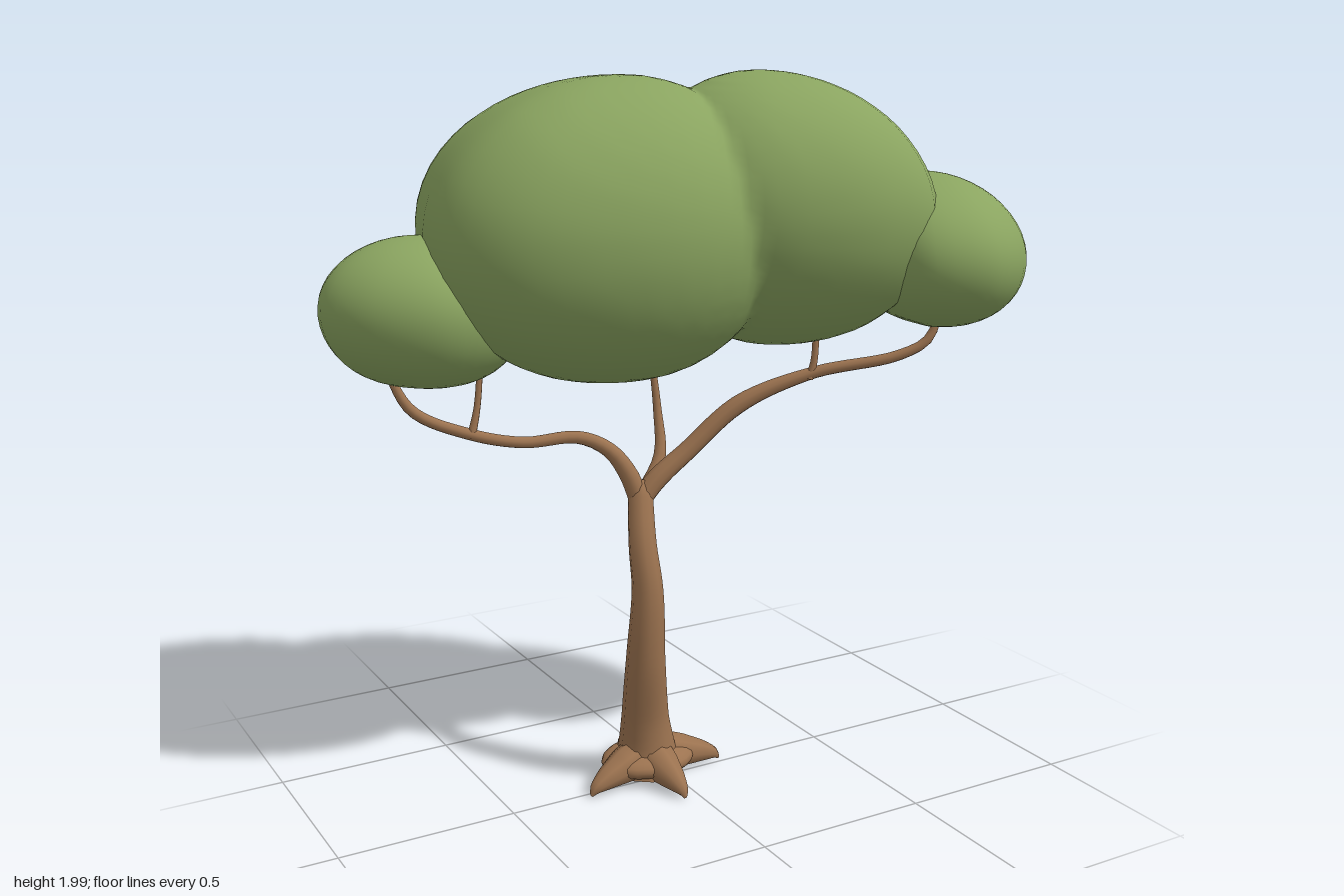
import * as THREE from 'three';
import { mergeVertices } from 'three/addons/utils/BufferGeometryUtils.js';

const leaf = new THREE.MeshStandardMaterial({ color: 0x8aa460 });
leaf.name = 'leaf green';
const bark = new THREE.MeshStandardMaterial({ color: 0x9c7350 });
bark.name = 'bark brown';

function add(group, name, geometry, material) {
  const mesh = new THREE.Mesh(geometry, material);
  mesh.name = name;
  group.add(mesh);
  return mesh;
}

// Weld a geometry and give it smooth normals.
function smooth(geo) {
  geo.deleteAttribute('uv');
  geo.deleteAttribute('normal');
  const merged = mergeVertices(geo, 1e-5);
  merged.computeVertexNormals();
  return merged;
}

// Rounded foliage mass: a sphere stretched to a plan outline of [x, z] points
// (ordered -x, +z, +x, -z), leaned by [dx, dz] at its top; a fullness below 1
// makes the underside broader.
function foliage([cx, cy, cz], ry, outline, [dx, dz], fullness) {
  const curve = new THREE.CatmullRomCurve3(
    outline.map(([x, z]) => new THREE.Vector3(x - cx, 0, z - cz)), true);
  const geo = new THREE.SphereGeometry(1, 40, 24);
  const pos = geo.attributes.position, uv = geo.attributes.uv;
  for (let i = 0; i < pos.count; i++) {
    const y = pos.getY(i);
    const s = Math.sqrt(Math.max(0, 1 - y * y)) ** (y < 0 ? fullness : 1);
    const p = curve.getPoint(((uv.getX(i) % 1) + 1) % 1);
    pos.setXYZ(i, cx + p.x * s + dx * y, cy + ry * y, cz + p.z * s + dz * y);
  }
  return smooth(geo);
}

// One skin over several overlapping masses, seen outward from a shared centre.
function skin(centre, masses) {
  const solid = new THREE.MeshBasicMaterial({ side: THREE.DoubleSide });
  const meshes = masses.map((m) => new THREE.Mesh(m, solid));
  const geo = new THREE.SphereGeometry(1, 80, 48);
  const pos = geo.attributes.position, dir = new THREE.Vector3();
  const ray = new THREE.Raycaster();
  for (let i = 0; i < pos.count; i++) {
    ray.set(centre, dir.fromBufferAttribute(pos, i).normalize());
    const p = ray.intersectObjects(meshes).at(-1).point;
    pos.setXYZ(i, p.x, p.y, p.z);
  }
  return smooth(geo);
}

// Tapered limb through [x, y, z, radius] points.
function limb(points, sides = 10) {
  const curve = new THREE.CatmullRomCurve3(
    points.map(([x, y, z]) => new THREE.Vector3(x, y, z)));
  const segs = (points.length - 1) * 5;
  const geo = new THREE.TubeGeometry(curve, segs, 1, sides);
  const pos = geo.attributes.position, v = new THREE.Vector3();
  for (let i = 0; i <= segs; i++) {
    const c = curve.getPointAt(i / segs);
    const t = curve.getUtoTmapping(i / segs) * (points.length - 1);
    const k = Math.min(Math.floor(t), points.length - 2);
    const r = THREE.MathUtils.lerp(points[k][3], points[k + 1][3], t - k);
    for (let j = 0; j <= sides; j++) {
      const n = i * (sides + 1) + j;
      v.fromBufferAttribute(pos, n).sub(c).multiplyScalar(r).add(c);
      pos.setXYZ(n, v.x, Math.max(0.005, v.y), v.z);
    }
  }
  return smooth(geo);
}

export function createModel() {
  const tree = new THREE.Group();
  tree.name = 'tree';

  // Canopy
  const canopy = new THREE.Group();
  canopy.name = 'canopy';
  tree.add(canopy);
  const largeRight = foliage([-0.15, 1.59, -0.03], 0.4, [
    [-0.66, 0.02], [-0.57, 0.2], [-0.38, 0.32], [-0.12, 0.38], [0.1, 0.33], [0.25, 0.15],
    [0.28, -0.1], [0.16, -0.33], [-0.03, -0.5], [-0.36, -0.57], [-0.51, -0.52], [-0.6, -0.3],
  ], [0.015, 0], 0.95);
  const largeLeft = foliage([0.25, 1.63, 0.07], 0.37, [
    [-0.12, 0.05], [-0.08, 0.22], [0.04, 0.37], [0.2, 0.45], [0.38, 0.48], [0.54, 0.44],
    [0.62, 0.3], [0.67, 0.12], [0.68, -0.03], [0.56, -0.19], [0.4, -0.3], [0.23, -0.34],
    [0.08, -0.29], [-0.06, -0.14],
  ], [-0.04, 0.02], 1);
  add(canopy, 'mainFoliage', skin(new THREE.Vector3(0.08, 1.6, 0), [largeRight, largeLeft]), leaf);
  add(canopy, 'smallRightFoliage', foliage([-0.62, 1.385, -0.22], 0.2, [
    [-0.9, -0.22], [-0.83, -0.06], [-0.66, 0.04], [-0.48, 0.0], [-0.36, -0.16],
    [-0.38, -0.34], [-0.5, -0.46], [-0.67, -0.485], [-0.82, -0.4],
  ], [-0.02, 0.01], 0.8), leaf);
  add(canopy, 'smallLeftFoliage', foliage([0.67, 1.52, 0.25], 0.21, [
    [0.44, 0.3], [0.46, 0.48], [0.62, 0.565], [0.77, 0.52], [0.87, 0.4], [0.9, 0.27],
    [0.83, 0.08], [0.68, -0.065], [0.56, -0.04], [0.47, 0.1],
  ], [-0.02, -0.015], 0.95), leaf);

  // Trunk and limbs
  const limbs = {
    trunk: [[-0.06, 0.03, -0.04, 0.1], [-0.062, 0.1, -0.036, 0.083], [-0.074, 0.2, -0.022, 0.068],
      [-0.097, 0.4, 0.025, 0.055], [-0.1, 0.6, 0.042, 0.044], [-0.104, 0.73, 0.022, 0.039],
      [-0.085, 0.87, -0.022, 0.034], [-0.08, 0.9, -0.025, 0.015]],
    leftBranch: [[-0.09, 0.84, -0.02, 0.03], [-0.04, 0.9, -0.01, 0.03], [0.04, 0.97, 0.01, 0.027],
      [0.18, 1.1, 0.06, 0.026], [0.36, 1.185, 0.15, 0.017], [0.56, 1.235, 0.27, 0.015],
      [0.63, 1.28, 0.31, 0.013], [0.66, 1.36, 0.32, 0.01]],
    rightBranch: [[-0.09, 0.84, -0.02, 0.028], [-0.12, 0.92, -0.03, 0.026], [-0.17, 0.99, -0.045, 0.021],
      [-0.25, 1.03, -0.07, 0.018], [-0.4, 1.028, -0.1, 0.016], [-0.54, 1.06, -0.14, 0.016],
      [-0.68, 1.13, -0.185, 0.015], [-0.74, 1.25, -0.21, 0.01]],
    middleBranch: [[-0.07, 0.86, -0.03, 0.022], [-0.01, 0.95, -0.05, 0.018],
      [0.005, 1.08, -0.09, 0.012], [-0.01, 1.26, -0.105, 0.008]],
    leftTwig: [[0.35, 1.17, 0.15, 0.012], [0.362, 1.22, 0.155, 0.01], [0.367, 1.32, 0.155, 0.009]],
    rightTwig: [[-0.535, 1.05, -0.135, 0.012], [-0.515, 1.13, -0.137, 0.009], [-0.5, 1.26, -0.14, 0.008]],
  };
  for (const name in limbs) add(tree, name, limb(limbs[name]), bark);

  // Root mound and spreading roots
  const mound = add(tree, 'rootMound', new THREE.SphereGeometry(1, 20, 12), bark);
  mound.scale.set(0.14, 0.045, 0.11);
  mound.position.set(-0.06, 0.06, -0.035);
  for (const [x, z] of [[0.17, -0.02], [-0.27, 0.02], [-0.045, 0.16], [-0.05, -0.22]]) {
    const at = (f, y, r) => [-0.06 + (x + 0.06) * f, y, -0.035 + (z + 0.035) * f, r];
    add(tree, 'root', limb([at(0.1, 0.08, 0.06), at(0.45, 0.06, 0.05), at(0.75, 0.043, 0.032),
      at(0.93, 0.027, 0.017), at(1, 0.01, 0.004)], 8), bark);
  }
  return tree;
}
